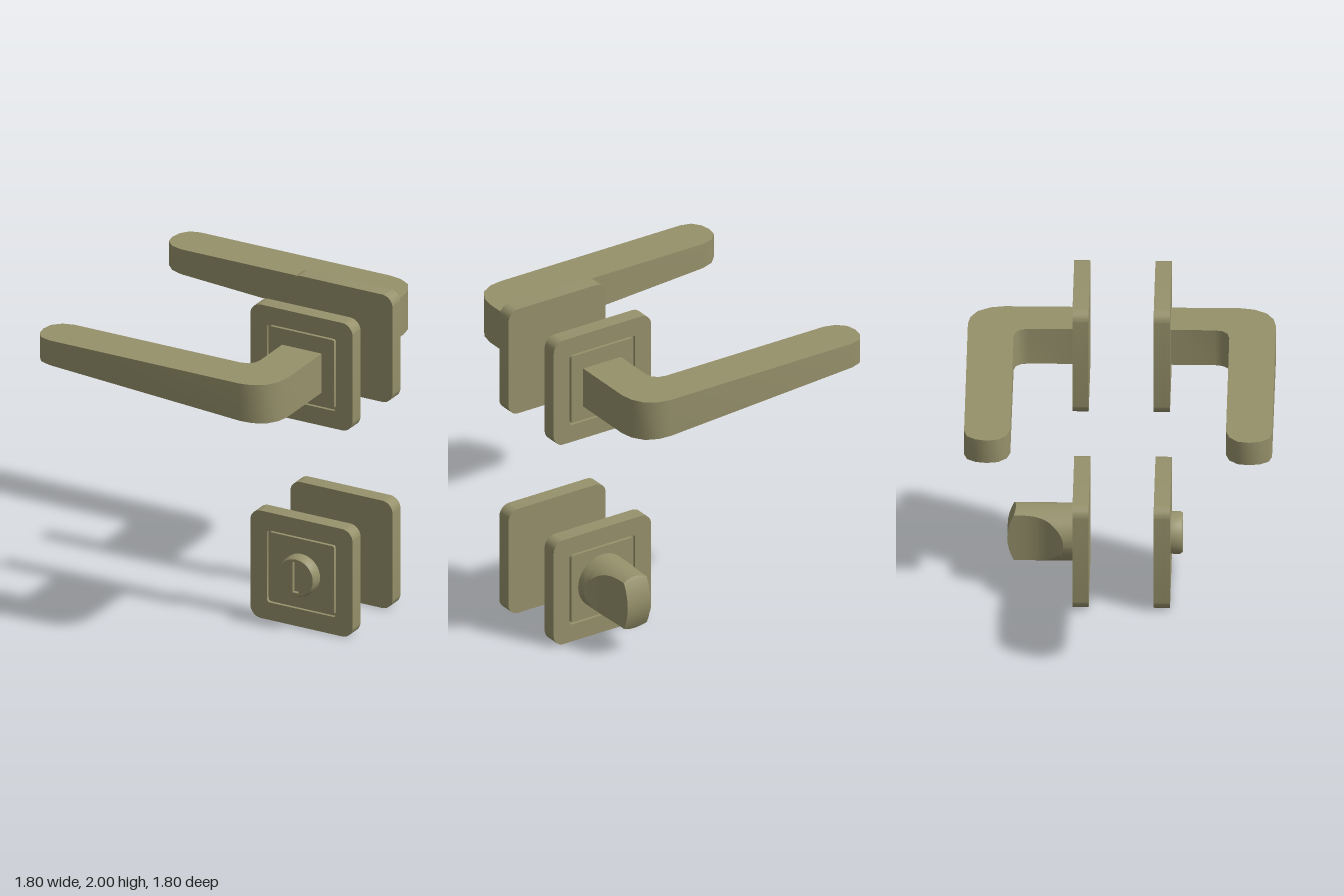
import * as THREE from 'three';
import { toCreasedNormals } from 'three/addons/utils/BufferGeometryUtils.js';

const material = new THREE.MeshStandardMaterial({ color: 0x96916b });
const PLATE_X = 0.555, BACK = 0.19, FACE = 0.285;

function addMesh(parent, name, geometry) {
  const mesh = new THREE.Mesh(toCreasedNormals(geometry, 0.6), material);
  mesh.name = name;
  parent.add(mesh);
  return mesh;
}

// Square with rounded corners, centred on the origin
function roundedSquare(size, r, Type = THREE.Shape) {
  const h = size / 2, c = h - r, s = new Type();
  s.moveTo(-c, -h);
  s.lineTo(c, -h);
  s.absarc(c, -c, r, -Math.PI / 2, 0);
  s.lineTo(h, c);
  s.absarc(c, c, r, 0, Math.PI / 2);
  s.lineTo(-c, h);
  s.absarc(-c, c, r, Math.PI / 2, Math.PI);
  s.lineTo(-h, -c);
  s.absarc(-c, -c, r, Math.PI, Math.PI * 1.5);
  return s;
}

function extrude(shape, z0, z1) {
  return new THREE.ExtrudeGeometry(shape, { depth: z1 - z0, bevelEnabled: false, curveSegments: 8 })
    .translate(0, 0, z0);
}

// Cover plate with a thin square groove in its face
function makePlate(name, y, side) {
  const plate = new THREE.Group();
  plate.name = name;
  plate.position.set(PLATE_X, y, 0);
  if (side < 0) plate.rotation.y = Math.PI;
  const floor = FACE - 0.02;
  const rim = roundedSquare(0.685, 0.07);
  rim.holes.push(roundedSquare(0.462, 0.02, THREE.Path));
  addMesh(plate, 'plateBase', extrude(roundedSquare(0.685, 0.07), BACK, floor));
  addMesh(plate, 'plateRim', extrude(rim, floor, FACE));
  addMesh(plate, 'plateInset', extrude(roundedSquare(0.438, 0.012), floor, FACE));
  return plate;
}

// Lever: plan outline raised upward, underside rising toward the tip
function makeLever(name, side) {
  const outline = [
    [0.69, FACE - 0.01], [0.69, 0.69], [0.675, 0.77], [0.63, 0.845], [0.56, 0.886], [0.485, 0.9],
    [-0.79, 0.9], [-0.855, 0.882], [-0.892, 0.832], [-0.905, 0.765], [-0.892, 0.7], [-0.842, 0.65], [-0.77, 0.63],
    [0.335, 0.63], [0.385, 0.619], [0.414, 0.59], [0.425, 0.545], [0.425, FACE - 0.01],
  ];
  const shape = new THREE.Shape(outline.map(([x, z]) => new THREE.Vector2(x, -side * z)));
  const geo = extrude(shape, 0, 1).rotateX(-Math.PI / 2);
  const pos = geo.attributes.position;
  for (let i = 0; i < pos.count; i++) {
    const under = 1.525 + (0.69 - pos.getX(i)) * 0.0627;
    pos.setY(i, pos.getY(i) > 0.5 ? 1.775 : under);
  }
  const lever = new THREE.Group();
  lever.name = name;
  addMesh(lever, 'leverArm', geo);
  return lever;
}

// Round emergency release with a straight slot
function addRelease(plate) {
  const profile = [[0.125, FACE - 0.005], [0.125, 0.34], [0.115, 0.355]].map(p => new THREE.Vector2(...p));
  addMesh(plate, 'releaseSide', new THREE.LatheGeometry(profile, 48).rotateX(Math.PI / 2));
  const face = new THREE.Shape().absarc(0, 0, 0.115, 0, Math.PI * 2);
  const slot = new THREE.Path();
  slot.setFromPoints([[-0.021, -0.097], [-0.021, 0.097], [0.021, 0.097], [0.021, -0.097]]
    .map(p => new THREE.Vector2(...p)));
  face.holes.push(slot);
  const faceGeo = new THREE.ExtrudeGeometry(face, { depth: 0.025, bevelEnabled: false, curveSegments: 24 });
  addMesh(plate, 'releaseFace', faceGeo.translate(0, 0, 0.33));
  addMesh(plate, 'slotFloor', new THREE.CircleGeometry(0.114, 32).translate(0, 0, 0.331));
}

// Thumb turn: a cylinder scooped on both sides into a grip, with a curved end
function addThumbTurn(plate) {
  const R = 0.17, ARC = 10, FLAT = 8;
  // depth and half thickness of each section
  const sections = [[0.28, 0.1699], [0.343, 0.1699], [0.36, 0.158], [0.38, 0.146], [0.405, 0.13], [0.43, 0.115],
    [0.46, 0.101], [0.5, 0.089], [0.55, 0.082], [0.6, 0.08], [null, 0.08]];
  const rings = sections.map(([z, h]) => {
    const a = Math.asin(h / R), top = R * Math.cos(a), half = [];
    for (let i = 0; i <= ARC; i++) half.push([R * Math.sin(a * i / ARC), R * Math.cos(a * i / ARC)]);
    for (let i = 1; i < FLAT; i++) half.push([h, top * (1 - 2 * i / FLAT)]);
    for (let i = ARC; i >= 0; i--) half.push([R * Math.sin(a * i / ARC), -R * Math.cos(a * i / ARC)]);
    return half.map(([x, y]) => [x, y, z ?? 0.67 - 0.05 * (y / R) ** 2]);
  });
  const verts = [];
  const mirror = ([x, y, z]) => [-x, y, z];
  const quad = (a, b, c, d) => verts.push(...a, ...b, ...c, ...a, ...c, ...d);
  for (let k = 0; k < rings.length - 1; k++) {
    const p = rings[k], q = rings[k + 1];
    for (let j = 0; j < p.length - 1; j++) {
      quad(p[j], q[j], q[j + 1], p[j + 1]);
      quad(mirror(p[j]), mirror(p[j + 1]), mirror(q[j + 1]), mirror(q[j]));
    }
  }
  const end = rings[rings.length - 1];
  for (let j = 0; j < end.length - 1; j++) quad(end[j], mirror(end[j]), mirror(end[j + 1]), end[j + 1]);
  const geo = new THREE.BufferGeometry();
  geo.setAttribute('position', new THREE.Float32BufferAttribute(verts, 3));
  addMesh(plate, 'thumbTurn', geo);
}

export function createModel() {
  const model = new THREE.Group();
  model.name = 'doorHandleSet';
  for (const [label, side] of [['front', 1], ['back', -1]]) {
    model.add(makePlate(label + 'HandlePlate', 1.6575, side));
    model.add(makeLever(label + 'Lever', side));
    const lockPlate = makePlate(label + 'LockPlate', 0.3425, side);
    if (side > 0) addRelease(lockPlate);
    else addThumbTurn(lockPlate);
    model.add(lockPlate);
  }
  return model;
}
